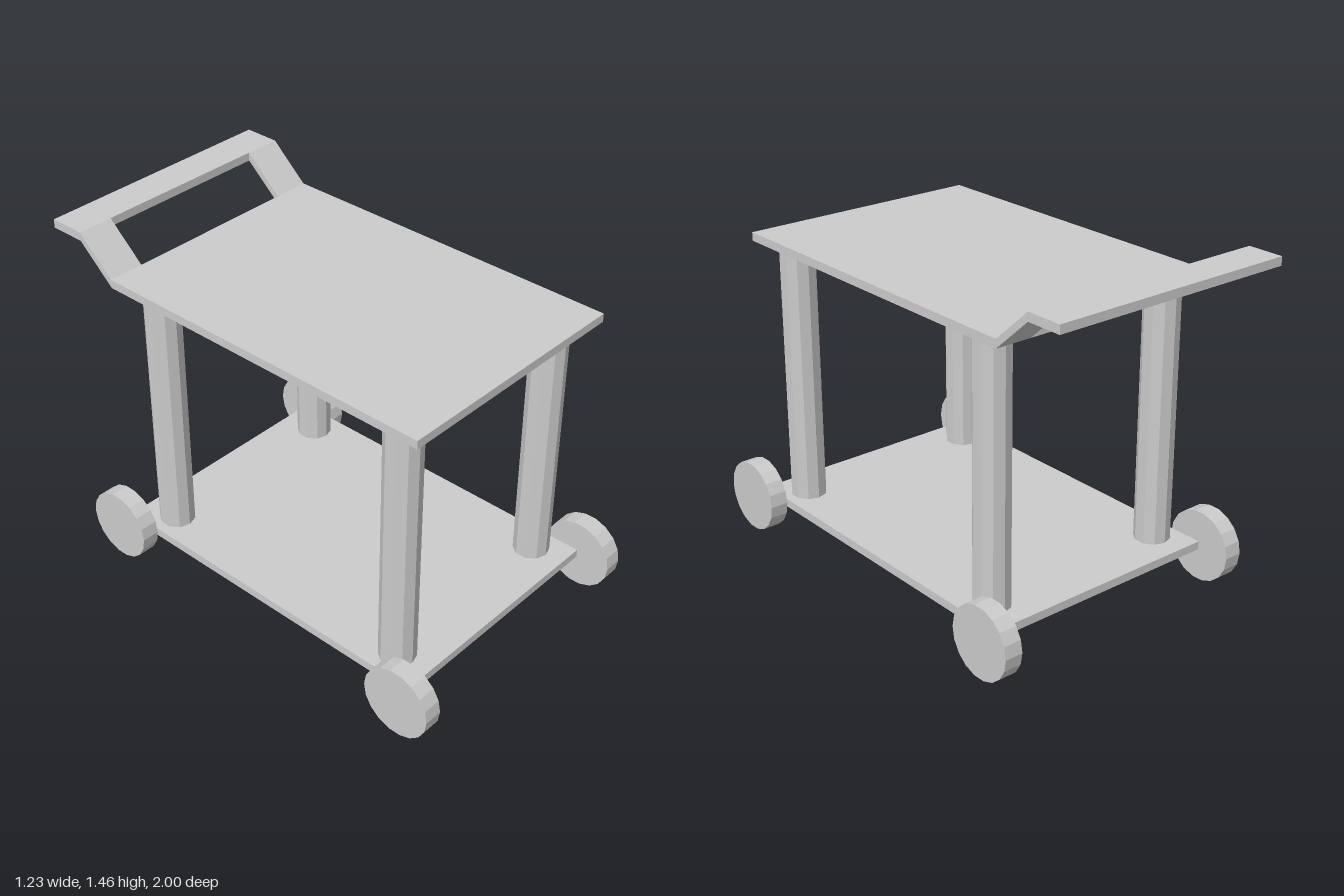
import * as THREE from 'three';

const material = new THREE.MeshStandardMaterial({ color: 0xcccccc, flatShading: true });

const HALF_WIDTH = 0.535, BACK = -0.682, FRONT = 0.847, THICK = 0.036;

export function createModel() {
  const cart = new THREE.Group();
  cart.name = 'serviceCart';

  const add = (name, geometry, x, y, z) => {
    const mesh = new THREE.Mesh(geometry, material);
    mesh.name = name;
    mesh.position.set(x, y, z);
    cart.add(mesh);
    return mesh;
  };

  // Two flat shelves
  const shelf = new THREE.BoxGeometry(HALF_WIDTH * 2, THICK, FRONT - BACK);
  const shelfZ = (FRONT + BACK) / 2;
  add('bottomShelf', shelf, 0, 0.152, shelfZ);
  add('topShelf', shelf, 0, 1.298, shelfZ);

  // Ten-sided posts between the shelves, and wheels at the shelf corners
  const post = new THREE.CylinderGeometry(0.075, 0.075, 1.11, 10);
  const wheel = new THREE.CylinderGeometry(0.152, 0.152, 0.078, 18).rotateZ(Math.PI / 2);
  for (const [side, s] of [['left', 1], ['right', -1]]) {
    add(side + 'FrontPost', post, s * 0.422, 0.725, 0.695);
    add(side + 'BackPost', post, s * 0.422, 0.725, -0.527);
    add(side + 'FrontWheel', wheel, s * (HALF_WIDTH + 0.039), 0.152, FRONT);
    add(side + 'BackWheel', wheel, s * (HALF_WIDTH + 0.039), 0.152, BACK);
  }

  // Handle arms: boxes sheared upward toward the back
  const run = 0.163, rise = 0.145, armWidth = 0.155;
  const arm = new THREE.BoxGeometry(armWidth, THICK, run);
  const p = arm.attributes.position;
  for (let i = 0; i < p.count; i++) p.setY(i, p.getY(i) - p.getZ(i) * rise / run);
  arm.computeVertexNormals();
  for (const [side, s] of [['left', 1], ['right', -1]]) {
    add(side + 'HandleArm', arm, s * (HALF_WIDTH - armWidth / 2), 1.298 + rise / 2, BACK - run / 2);
  }

  // Flat push bar across the arms
  add('handleBar', new THREE.BoxGeometry(HALF_WIDTH * 2, THICK, 0.155), 0, 1.298 + rise, BACK - run - 0.0775);

  return cart;
}
